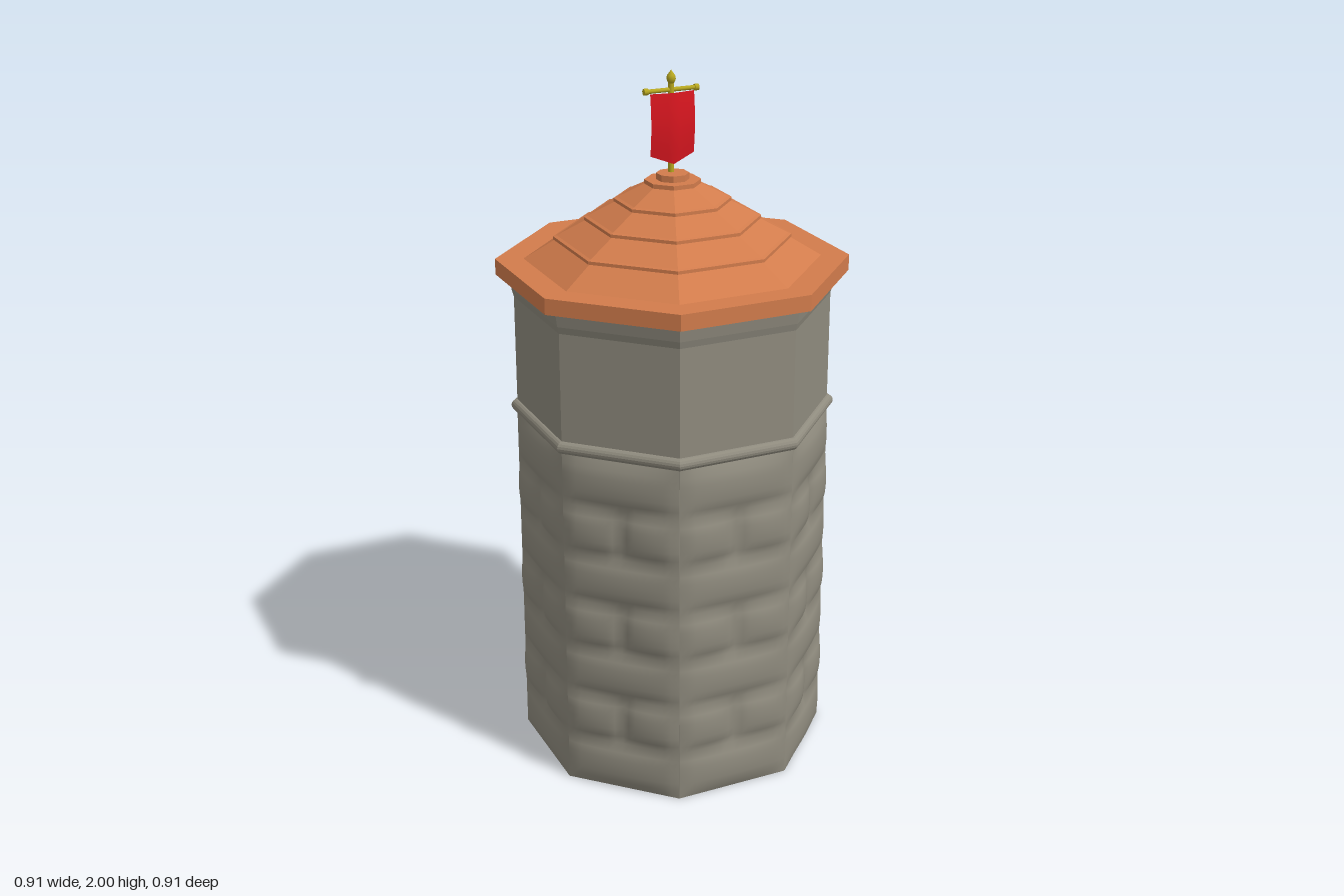
import * as THREE from 'three';

const mat = (color, extra = {}) => new THREE.MeshStandardMaterial({ color, ...extra });
const APOTHEM = 0.41;
const FACE = 2 * APOTHEM * Math.tan(Math.PI / 8);

function add(parent, name, geometry, material, x = 0, y = 0, z = 0) {
  const mesh = new THREE.Mesh(geometry, material);
  mesh.name = name;
  mesh.position.set(x, y, z);
  parent.add(mesh);
  return mesh;
}

// Eight-sided solid from [apothem, height] pairs, flat sides towards the axes
function octagon(profile) {
  const k = 1 / Math.cos(Math.PI / 8);
  return new THREE.LatheGeometry(profile.map(([a, y]) => new THREE.Vector2(a * k, y)), 8, Math.PI / 8);
}

// Wall panel of pillowed stones: whole stones alternate with rows of two
function stonePanel() {
  const rows = 7, height = 1.025;
  const g = new THREE.PlaneGeometry(FACE, height, 16, rows * 6);
  const p = g.attributes.position;
  for (let i = 0; i < p.count; i++) {
    const u = p.getX(i) / FACE + 0.5;
    const v = (p.getY(i) / height + 0.5) * rows;
    const across = Math.floor(v + 1e-5) % 2 ? 2 : 1;
    const bulge = Math.abs(Math.sin(Math.PI * u * across) * Math.sin(Math.PI * v));
    p.setZ(i, 0.001 + 0.018 * Math.sqrt(bulge));
  }
  g.translate(0, height / 2, APOTHEM);
  g.computeVertexNormals();
  return g;
}

// Hanging cloth, bowed forwards and pointed at the bottom
function bannerCloth() {
  const g = new THREE.PlaneGeometry(0.13, 1, 8, 8);
  const p = g.attributes.position;
  for (let i = 0; i < p.count; i++) {
    const x = p.getX(i), t = 0.5 - p.getY(i);
    const side = Math.abs(x) / 0.065;
    const length = 0.195 - 0.025 * side;
    p.setXYZ(i, x, 1.94 - t * length, -0.003 + 0.011 * (1 - side) + 0.007 * Math.sin(Math.PI * t));
  }
  g.computeVertexNormals();
  return g;
}

export function createModel() {
  const tower = new THREE.Group();
  tower.name = 'tower';
  const stone = mat(0x8f8b7e, { flatShading: true });
  const smoothStone = mat(0x8f8b7e);
  const tile = mat(0xd27c4c, { flatShading: true });
  const gold = mat(0xb8a820);
  const red = mat(0xd8161f, { side: THREE.DoubleSide });

  // Walls with a slight flare under the eaves
  add(tower, 'walls', octagon([
    [0, 0], [APOTHEM, 0], [APOTHEM, 1.37], [0.415, 1.39], [0.422, 1.44], [0, 1.44],
  ]), stone);

  // Stonework on six of the eight sides; the +x and -z sides are plain
  const panel = stonePanel();
  for (let i = 0; i < 8; i++) {
    if (i === 2 || i === 4) continue;
    add(tower, 'stonework' + i, panel, smoothStone).rotation.y = i * Math.PI / 4;
  }

  // Rounded string course
  const band = [];
  for (let i = 0; i <= 8; i++) {
    const a = -Math.PI / 2 + i * Math.PI / 8;
    band.push([0.408 + 0.018 * Math.cos(a), 1.044 + 0.018 * Math.sin(a)]);
  }
  add(tower, 'stringCourse', octagon(band), stone);

  // Eaves slab
  add(tower, 'eaves', octagon([[0, 1.435], [0.455, 1.435], [0.455, 1.48], [0, 1.48]]), tile);

  // Roof slopes with three stepped ridges
  const roof = [[0.382, 1.48]];
  for (const [a, y] of [[0.305, 1.534], [0.226, 1.589], [0.15, 1.641]]) {
    roof.push([a - 0.005, y], [a, y], [a, y + 0.009], [a - 0.009, y + 0.012]);
  }
  roof.push([0.072, 1.69], [0, 1.69]);
  add(tower, 'roof', octagon(roof), tile);

  // Stepped roof cap
  add(tower, 'roofCap', octagon([
    [0.072, 1.685], [0.072, 1.702], [0.042, 1.702], [0.042, 1.72], [0, 1.72],
  ]), tile);

  // Banner on its pole
  const flag = new THREE.Group();
  flag.name = 'banner';
  tower.add(flag);
  const z = -0.01;
  add(flag, 'pole', new THREE.CylinderGeometry(0.008, 0.008, 0.27, 12), gold, 0, 1.835, z);
  add(flag, 'finial', new THREE.LatheGeometry([
    [0, 1.962], [0.008, 1.964], [0.013, 1.975], [0.011, 1.985], [0.004, 1.994], [0, 2],
  ].map(([r, y]) => new THREE.Vector2(r, y)), 12), gold, 0, 0, z);
  add(flag, 'crossbar', new THREE.CylinderGeometry(0.006, 0.006, 0.15, 10), gold, 0, 1.946, z)
    .rotation.z = Math.PI / 2;
  for (const s of [-1, 1]) {
    add(flag, 'crossbarEnd', new THREE.CylinderGeometry(0.009, 0.009, 0.012, 10), gold, s * 0.075, 1.946, z)
      .rotation.z = Math.PI / 2;
  }
  add(flag, 'cloth', bannerCloth(), red);

  return tower;
}
